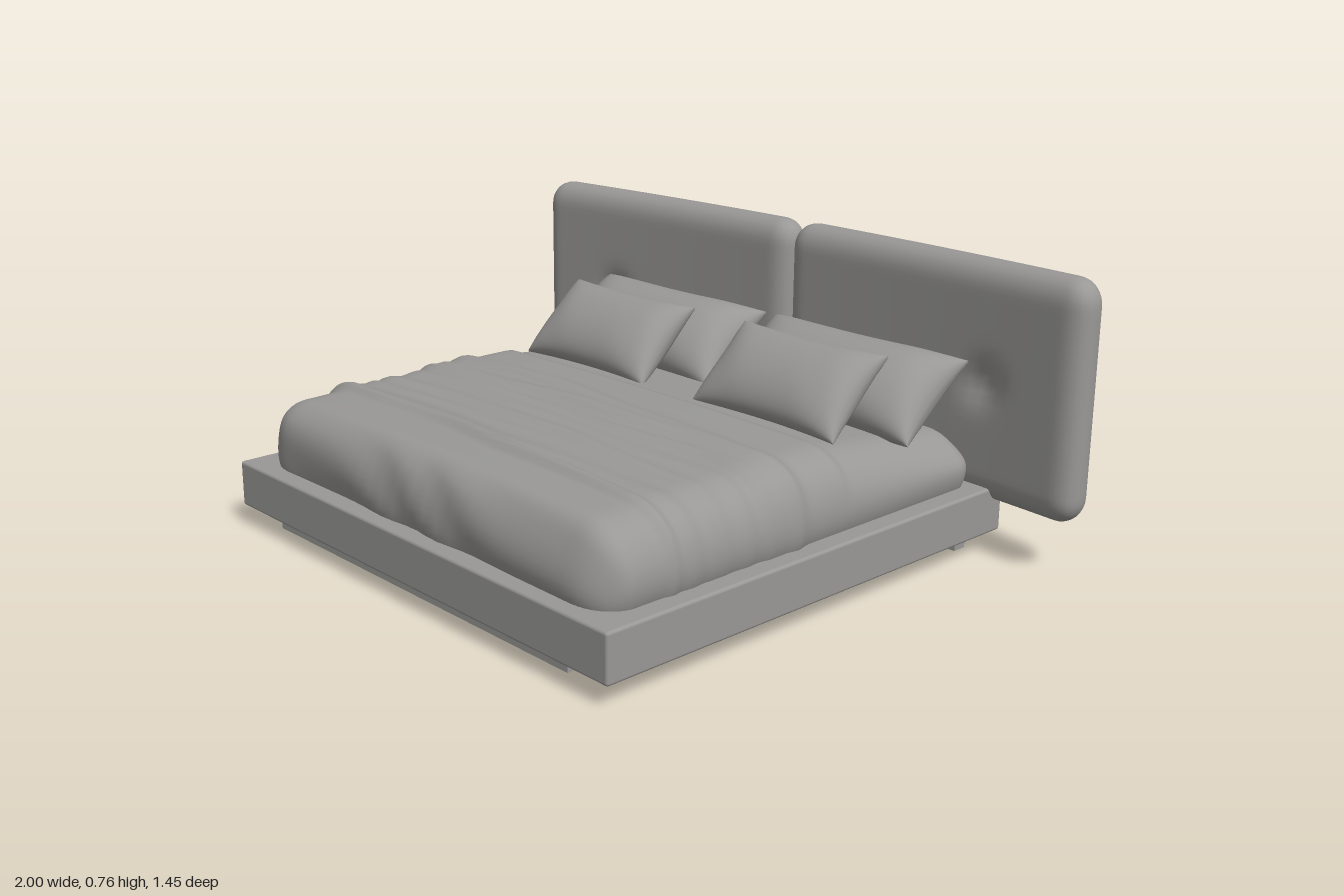
import * as THREE from 'three';
import { mergeVertices } from 'three/addons/utils/BufferGeometryUtils.js';
import { RoundedBoxGeometry } from 'three/addons/geometries/RoundedBoxGeometry.js';

const grey = new THREE.MeshStandardMaterial({ color: 0x999896 });
grey.name = 'warm grey';

// Moves every vertex of a geometry by a rule, then smooths the normals
function reshape(geo, rule, weld = true) {
  const pos = geo.attributes.position, p = new THREE.Vector3();
  for (let i = 0; i < pos.count; i++) {
    p.fromBufferAttribute(pos, i);
    rule(p);
    pos.setXYZ(i, p.x, p.y, p.z);
  }
  if (weld) {
    geo.deleteAttribute('uv');
    geo.deleteAttribute('normal');
    geo = mergeVertices(geo, 1e-5);
  }
  geo.computeVertexNormals();
  return geo;
}

// Box with elliptical rounded edges and rows packed towards the edges
function softBox(size, radii, segs, rule) {
  const axes = ['x', 'y', 'z'];
  return reshape(new THREE.BoxGeometry(2, 2, 2, ...segs), (p) => {
    const inner = new THREE.Vector3(), off = new THREE.Vector3();
    axes.forEach((a, i) => {
      const half = size[i] / 2, lim = half - radii[i];
      const v = half * Math.sin(p[a] * Math.PI / 2);
      inner[a] = Math.max(-lim, Math.min(lim, v));
      off[a] = (v - inner[a]) / radii[i];
    });
    off.normalize();
    axes.forEach((a, i) => { p[a] = inner[a] + off[a] * radii[i]; });
    rule(p);
  });
}

const bell = (d, w) => Math.exp(-((d / w) ** 2));

// Pillow: thin sheet puffed in the middle, with pinched sides and pointed corners
function pillowGeometry(w, h, thick) {
  return reshape(new THREE.BoxGeometry(2, 2, 2, 32, 24, 1), (p) => {
    const u = Math.sin(p.x * Math.PI / 2), v = Math.sin(p.y * Math.PI / 2);
    const puff = Math.sqrt(Math.max(0, (1 - u ** 4) * (1 - v * v)));
    const wrinkle = 1 + 0.05 * Math.sin(u * 9 + v * 3) * u * u;
    p.set(
      u * w / 2 * (1 - 0.06 * (1 - v * v)),
      v * h / 2 * (1 - 0.09 * (1 - u * u)),
      p.z * (0.003 + thick / 2 * puff * wrinkle)
    );
  }, false);
}

// Folds of the throw lying across the bed: z, height, width
const folds = [
  [0.48, 0.022, 0.018], [0.44, 0.012, 0.03], [0.37, 0.006, 0.016], [0.32, 0.010, 0.02],
  [0.25, 0.007, 0.02], [0.19, 0.012, 0.016], [0.14, 0.018, 0.028], [0.08, 0.020, 0.028]
];

function beddingGeometry() {
  return softBox([1.4, 0.25, 1.3], [0.13, 0.13, 0.09], [48, 20, 150], (p) => {
    p.y += 0.225;
    p.z += 0.035;
    const { x, y, z } = p;
    const top = THREE.MathUtils.smoothstep(y, 0.2, 0.34);
    const crown = 0.012 * (1 - (x / 0.7) ** 2);
    const slope = z < -0.1 ? -0.10 * (-0.1 - z) : 0.012 * (1 - Math.max(0, z) / 0.6);
    let fold = 0;
    folds.forEach(([z0, h, w], i) => {
      const wander = 0.012 * Math.sin(x * 4 + i * 1.7) + 0.004 * Math.sin(x * 13 + i);
      fold += h * (0.8 + 0.25 * Math.sin(x * 6 + i * 2.3)) * bell(z - z0 - wander, w);
    });
    p.y += top * (crown + slope + fold);
    // Folds hanging down both sides
    p.x += Math.sign(x) * THREE.MathUtils.smoothstep(Math.abs(x), 0.6, 0.69) * fold * 0.5;
    // Soft creases at the foot end
    const foot = THREE.MathUtils.smoothstep(z, 0.6, 0.67);
    p.z += foot * 0.005 * Math.sin(x * 17 + y * 30 + Math.sin(x * 7) * 2);
  });
}

// Curved headboard half, pressed in slightly beside the pillows
function headboardGeometry(side) {
  return softBox([1, 0.625, 0.117], [0.065, 0.07, 0.056], [48, 36, 12], (p) => {
    p.x += side * 0.5;
    p.y += 0.4525;
    const front = THREE.MathUtils.smoothstep(p.z, 0, 0.05);
    p.z -= 0.025 * front * bell(Math.abs(p.x) - 0.7, 0.05) * bell(p.y - 0.45, 0.05);
    p.z += -0.667 + 0.05 * p.x * p.x;
  });
}

export function createModel() {
  const bed = new THREE.Group();
  bed.name = 'bed';

  function add(name, geo, x = 0, y = 0, z = 0) {
    const mesh = new THREE.Mesh(geo, grey);
    mesh.name = name;
    mesh.position.set(x, y, z);
    bed.add(mesh);
    return mesh;
  }

  // Frame and supports
  add('bedBase', new RoundedBoxGeometry(1.49, 0.125, 1.37, 3, 0.008), 0, 0.1175, 0.04);
  add('frontFootBar', new THREE.BoxGeometry(1.175, 0.035, 0.036), 0, 0.0425, 0.682);

  // Mattress with its covers
  add('bedding', beddingGeometry());

  const largePillow = pillowGeometry(0.66, 0.29, 0.18);
  const smallPillow = pillowGeometry(0.49, 0.27, 0.13);
  for (const side of [-1, 1]) {
    const label = side > 0 ? 'left' : 'right';
    add(label + 'BackLeg', new THREE.BoxGeometry(0.046, 0.06, 0.042), side * 0.655, 0.03, -0.568);
    add(label + 'Headboard', headboardGeometry(side));

    const large = add(label + 'LargePillow', largePillow, side * 0.35, 0.425, -0.44);
    large.rotation.x = -0.92;
    const small = add(label + 'SmallPillow', smallPillow, side * 0.343, 0.452, -0.25);
    small.rotation.x = -0.82;
  }
  return bed;
}
